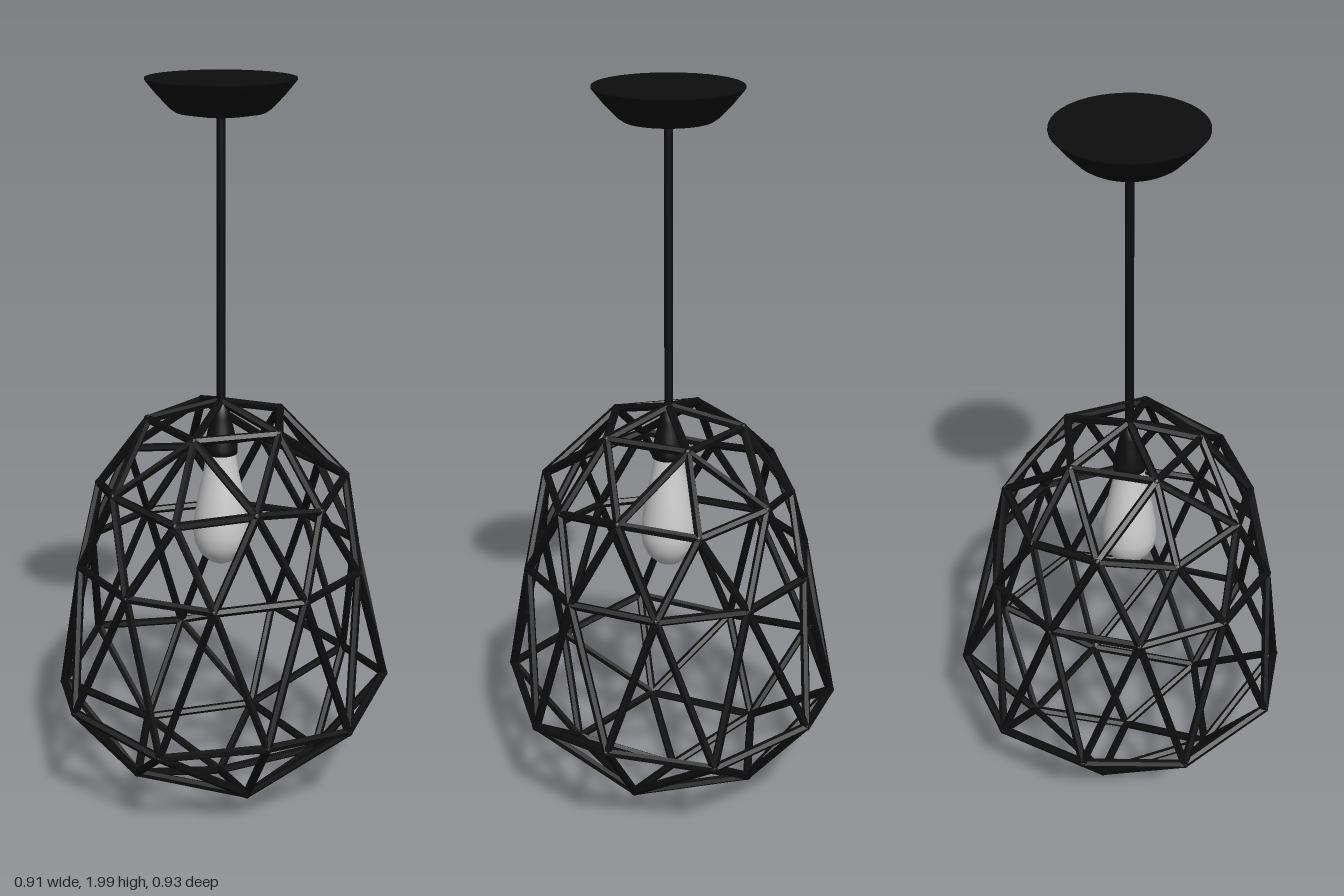
import * as THREE from 'three';

const black = new THREE.MeshStandardMaterial({ color: 0x0d0d0d });
const blackFlat = new THREE.MeshStandardMaterial({ color: 0x0d0d0d, flatShading: true });
const grey = new THREE.MeshStandardMaterial({ color: 0xcccccc });

const AXIS_Z = 0.004;
const BAR = 0.0115;

function lathe(name, profile, material, segments = 40) {
  const points = profile.map(([r, y]) => new THREE.Vector2(r, y));
  const mesh = new THREE.Mesh(new THREE.LatheGeometry(points, segments), material);
  mesh.name = name;
  mesh.position.z = AXIS_Z;
  return mesh;
}

// Ring of cage joints; radius and height may alternate between even and odd joints
function ring(count, startDeg, radii, heights, z = AXIS_Z) {
  return Array.from({ length: count }, (_, i) => {
    const a = THREE.MathUtils.degToRad(startDeg + (i * 360) / count);
    const r = radii[i % radii.length];
    return new THREE.Vector3(r * Math.sin(a), heights[i % heights.length], z + r * Math.cos(a));
  });
}

function bar(a, b) {
  const geometry = new THREE.CylinderGeometry(BAR, BAR, a.distanceTo(b), 6);
  const mesh = new THREE.Mesh(geometry, blackFlat);
  mesh.name = 'cageBar';
  mesh.position.addVectors(a, b).multiplyScalar(0.5);
  mesh.quaternion.setFromUnitVectors(new THREE.Vector3(0, 1, 0), b.clone().sub(a).normalize());
  return mesh;
}

// Geodesic cage: pole, 5, 10, 10, 10, 5, pole
function createCage() {
  const cage = new THREE.Group();
  cage.name = 'cage';
  const top = new THREE.Vector3(0, 1.155, AXIS_Z);
  const bottom = new THREE.Vector3(0, 0.027, -0.008);
  const crown = ring(5, 36, [0.195], [1.1], 0);
  const shoulder = ring(10, 36, [0.332, 0.336], [0.917, 0.95]);
  const waist = ring(10, 18, [0.392], [0.715]);
  const hip = ring(10, 0, [0.465, 0.444], [0.35, 0.303], -0.013);
  const foot = ring(5, 0, [0.275], [0.108], -0.008);

  const link = (a, b) => cage.add(bar(a, b));
  const close = (r) => r.forEach((p, i) => link(p, r[(i + 1) % r.length]));
  [crown, shoulder, waist, hip, foot].forEach(close);

  // Poles to the small rings, and each small-ring joint to three joints of the next ring
  for (const [pole, small, large] of [[top, crown, shoulder], [bottom, foot, hip]]) {
    small.forEach((p, i) => {
      link(pole, p);
      for (const d of [-1, 0, 1]) link(p, large[(2 * i + d + 10) % 10]);
    });
  }
  // Zigzags from the waist up to the shoulder and down to the hip
  waist.forEach((p, i) => {
    link(p, shoulder[(i + 9) % 10]);
    link(p, shoulder[(i + 8 + 1 + 1) % 10 === i ? i : (i + 10) % 10]);
    link(p, hip[i]);
    link(p, hip[(i + 1) % 10]);
  });

  // Small balls fill the joints
  const ball = new THREE.IcosahedronGeometry(BAR * 1.08, 1);
  for (const p of [top, bottom, ...crown, ...shoulder, ...waist, ...hip, ...foot]) {
    const joint = new THREE.Mesh(ball, blackFlat);
    joint.name = 'cageJoint';
    joint.position.copy(p);
    cage.add(joint);
  }
  return cage;
}

export function createModel() {
  const lamp = new THREE.Group();
  lamp.name = 'pendantLamp';

  // Ceiling canopy and hanging rod
  lamp.add(lathe('canopy', [[0, 1.903], [0.06, 1.906], [0.115, 1.915], [0.13, 1.925],
    [0.165, 1.962], [0.192, 1.995], [0.192, 2], [0, 2]], black));
  const rod = new THREE.Mesh(new THREE.CylinderGeometry(0.0115, 0.0115, 0.8, 16), black);
  rod.name = 'rod';
  rod.position.set(0, 1.51, AXIS_Z);
  lamp.add(rod);

  // Bulb holder and bulb
  lamp.add(lathe('socket', [[0, 1.01], [0.045, 1.01], [0.045, 1.03], [0.034, 1.08],
    [0.026, 1.11], [0.02, 1.15], [0, 1.15]], black, 24));
  lamp.add(lathe('bulb', [[0, 0.683], [0.012, 0.688], [0.035, 0.7], [0.058, 0.722], [0.072, 0.752],
    [0.076, 0.785], [0.072, 0.83], [0.06, 0.9], [0.047, 0.96], [0.041, 1.0], [0.04, 1.02]], grey));

  lamp.add(createCage());
  return lamp;
}
